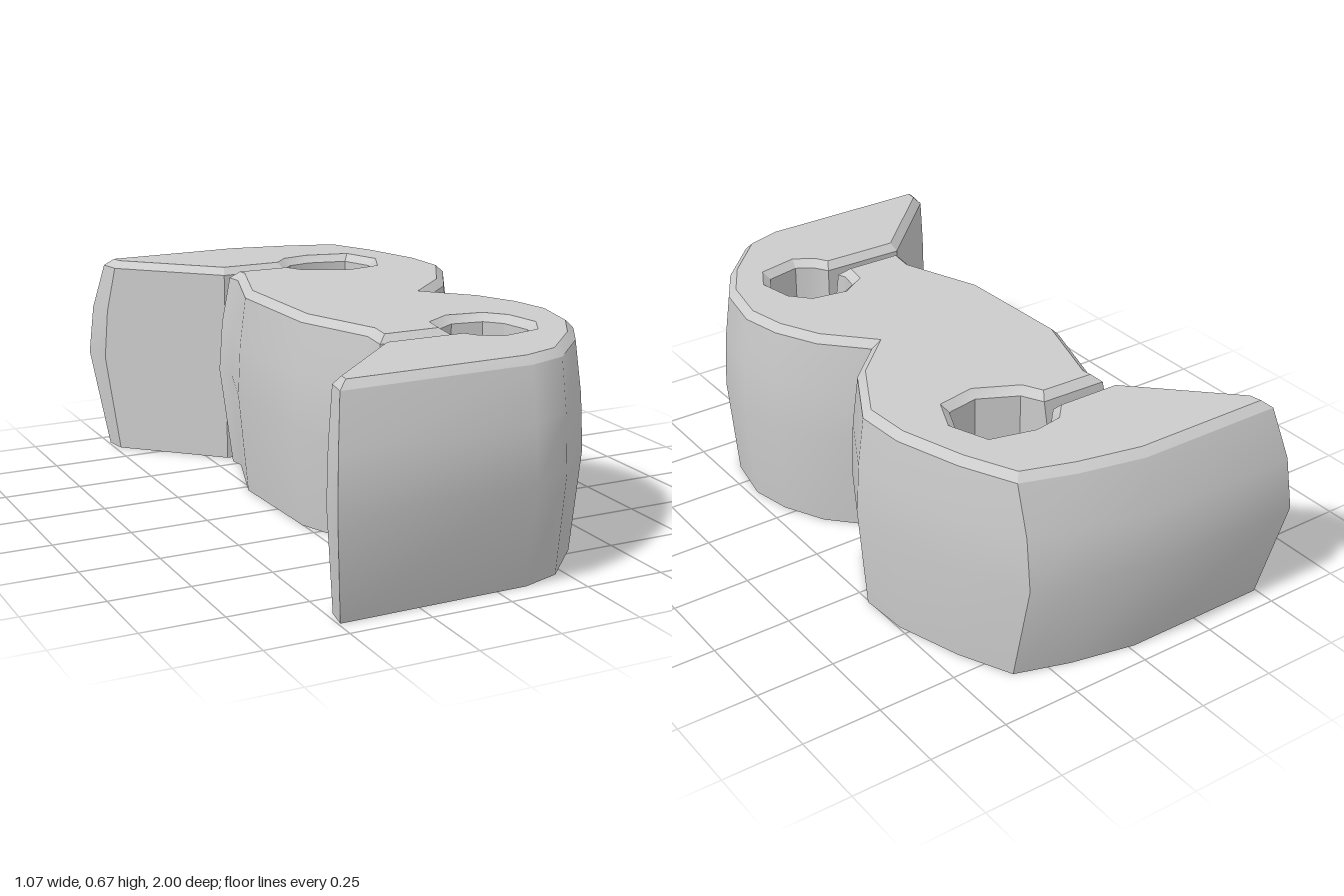
import * as THREE from 'three';
import { toCreasedNormals } from 'three/addons/utils/BufferGeometryUtils.js';

// Outline at mid height as runs of [x, z]; each run has its own barrel bulge rule
const runs = [
  { kind: 'outer', pts: [[-0.535, -1], [-0.03, -1], [0.2, -0.95], [0.35, -0.9], [0.45, -0.69], [0.52, -0.47],
    [0.53, -0.3], [0.41, -0.08], [0.295, 0.03], [0.4, 0.14], [0.47, 0.28], [0.5, 0.42], [0.465, 0.61],
    [0.37, 0.77], [0.2, 0.95], [0.08, 0.99]] },
  { kind: 'round', pts: [[-0.535, 1]] },                                  // front arm tip
  { kind: 'straight', pts: [[-0.515, 0.89], [-0.19, 0.57],                // front arm inside and hole
    [0.08, 0.572], [0.11, 0.62], [0.16, 0.65], [0.27, 0.625], [0.305, 0.56], [0.285, 0.46], [0.24, 0.41],
    [0.14, 0.395], [0.07, 0.44], [0.06, 0.5]] },
  { kind: 'round', pts: [[0.08, 0.555], [-0.2, 0.555], [-0.185, 0.43], [-0.28, 0.18], [-0.295, -0.22],
    [-0.21, -0.48], [-0.22, -0.56]] },                                    // waist between the slots
  { kind: 'straight', pts: [[0.01, -0.555], [0.06, -0.46], [0.18, -0.4], [0.285, -0.42], [0.325, -0.51],
    [0.285, -0.615], [0.16, -0.645], [0.08, -0.63], [0.03, -0.575], [-0.19, -0.575]] }, // back hole and arm inside
  { kind: 'round', pts: [[-0.515, -0.89]] },                              // back arm tip
];

const HEIGHT = 0.668, RIM = 0.645, CHAMFER = 0.024;

// Move every edge of a loop inward by its own distance and intersect neighbours
function inset(loop, distances) {
  const n = loop.length;
  const normals = loop.map((p, i) => {
    const q = loop[(i + 1) % n];
    const dx = q[0] - p[0], dz = q[1] - p[1], l = Math.hypot(dx, dz);
    return [-dz / l, dx / l];
  });
  return loop.map((p, i) => {
    const j = (i + n - 1) % n;
    const [a, b] = normals[j], [c, d] = normals[i];
    const r = distances[j], s = distances[i];
    const det = a * d - b * c;
    if (Math.abs(det) < 0.12) {
      const m = (r + s) / 2, l = Math.hypot(a + c, b + d);
      return [p[0] + m * (a + c) / l, p[1] + m * (b + d) / l];
    }
    return [p[0] + (r * d - s * b) / det, p[1] + (s * a - r * c) / det];
  });
}

// Join stacked loops with outward facing quads
function skin(levels) {
  const pos = [], index = [], n = levels[0].loop.length;
  for (const { y, loop } of levels) for (const [x, z] of loop) pos.push(x, y, z);
  for (let k = 0; k < levels.length - 1; k++) {
    for (let i = 0; i < n; i++) {
      const a = k * n + i, b = k * n + (i + 1) % n;
      index.push(a, a + n, b, b, a + n, b + n);
    }
  }
  const g = new THREE.BufferGeometry();
  g.setAttribute('position', new THREE.Float32BufferAttribute(pos, 3));
  g.setIndex(index);
  return toCreasedNormals(g, 0.5);
}

export function createModel() {
  const group = new THREE.Group();
  group.name = 'lobedShell';
  const material = new THREE.MeshStandardMaterial({ color: 0xcccccc, side: THREE.DoubleSide });
  const add = (name, geometry) => {
    const mesh = new THREE.Mesh(geometry, material);
    mesh.name = name;
    group.add(mesh);
  };

  const mid = runs.flatMap(r => r.pts);
  const kinds = runs.flatMap(r => r.pts.map(() => r.kind));

  // Bulge is strongest on the two flat ends, slight on the lobes, none in the holes
  const bulge = mid.map((p, i) => {
    if (kinds[i] === 'straight') return 0;
    if (kinds[i] === 'round') return 0.028;
    const q = mid[(i + 1) % mid.length];
    const nz = (q[0] - p[0]) / Math.hypot(q[0] - p[0], q[1] - p[1]);
    return Math.abs(p[1] + q[1]) / 2 > 0.6 ? 0.025 + 0.045 * nz ** 4 : 0.025;
  });
  const rim = inset(mid, bulge);
  const shoulder = mid.map((p, i) => [0, 1].map(k => p[k] + 0.3 * (rim[i][k] - p[k])));
  const top = inset(rim, rim.map(() => CHAMFER));

  // Barrel-shaped side wall, open underneath
  add('sideWall', skin([
    { y: 0, loop: rim }, { y: 0.325, loop: mid }, { y: 0.49, loop: shoulder }, { y: RIM, loop: rim },
  ]));

  // Bevel around the top edge
  add('topBevel', skin([{ y: RIM, loop: rim }, { y: HEIGHT, loop: top }]));

  // Flat top plate
  const shape = new THREE.Shape(top.map(([x, z]) => new THREE.Vector2(x, -z)));
  add('topPlate', new THREE.ShapeGeometry(shape).rotateX(-Math.PI / 2).translate(0, HEIGHT, 0));

  return group;
}
